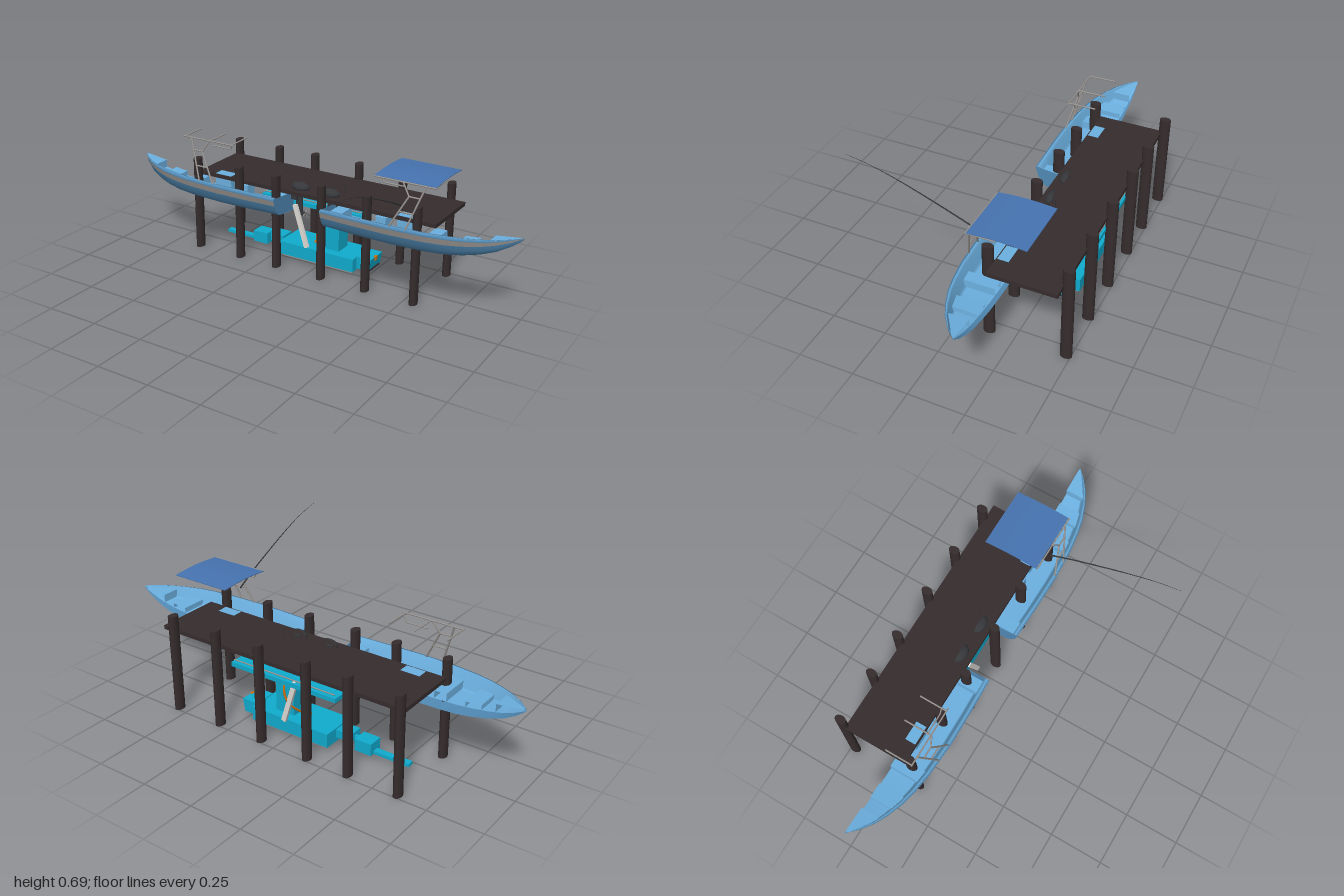
import * as THREE from 'three';

const mat = (name, color, double) => {
  const m = new THREE.MeshStandardMaterial({ color });
  m.name = name;
  if (double) m.side = THREE.DoubleSide;
  return m;
};

export function createModel() {
  const M = {
    timber: mat('dark timber', 0x352c2d),
    hull: mat('hull blue', 0x5089b4, true),
    liner: mat('light blue', 0x6cb0e0, true),
    grey: mat('grey', 0x96928f, true),
    cyan: mat('cyan', 0x10abce),
    canvas: mat('canvas blue', 0x4673b0, true),
    black: mat('charcoal', 0x35373b),
    white: mat('white', 0xdedbd6),
    orange: mat('orange', 0xd0720f),
  };
  const root = new THREE.Group();
  const add = (name, geo, material, parent = root) => {
    const m = new THREE.Mesh(geo, material);
    m.name = name;
    parent.add(m);
    return m;
  };
  // box given by its limits on each axis
  const box = (name, material, x0, x1, y0, y1, z0, z1, parent) => {
    const m = add(name, new THREE.BoxGeometry(Math.abs(x1 - x0), y1 - y0, z1 - z0), material, parent);
    m.position.set((x0 + x1) / 2, (y0 + y1) / 2, (z0 + z1) / 2);
    return m;
  };
  const vec = (p) => new THREE.Vector3(...p);
  // straight round bar between two points
  const bar = (name, material, a, b, r, parent, r2 = r) => {
    const d = vec(b).sub(vec(a));
    const m = add(name, new THREE.CylinderGeometry(r2, r, d.length(), 10), material, parent);
    m.position.copy(vec(a)).addScaledVector(d, 0.5);
    m.quaternion.setFromUnitVectors(new THREE.Vector3(0, 1, 0), d.normalize());
    return m;
  };
  // skin over rows of points
  const loft = (rows) => {
    const n = rows[0].length, idx = [];
    for (let i = 0; i < rows.length - 1; i++) for (let j = 0; j < n - 1; j++) {
      const a = i * n + j, b = a + n;
      idx.push(a, b, a + 1, b, b + 1, a + 1);
    }
    const g = new THREE.BufferGeometry();
    g.setAttribute('position', new THREE.Float32BufferAttribute(rows.flat(2), 3));
    g.setIndex(idx);
    g.computeVertexNormals();
    return g;
  };

  // Dock and piles
  box('dockDeck', M.timber, -0.62, 0.625, 0.366, 0.384, -0.465, -0.16);
  for (const x of [-0.61, -0.37, -0.165, 0.077, 0.308, 0.55]) for (const z of [-0.135, -0.48]) {
    const p = add('dockPile', new THREE.CylinderGeometry(1, 1, 0.457, 20), M.timber);
    p.scale.set(0.018, 1, 0.026);
    p.position.set(x, 0.2285, z);
  }

  // Half boats, open along the centre plane: [x, half width, keel y, sheer y]
  const CZ = -0.215;
  const stations = [
    [0.12, 0.172, 0.27, 0.376], [0.3, 0.178, 0.265, 0.378], [0.45, 0.18, 0.264, 0.379],
    [0.61, 0.171, 0.266, 0.38], [0.7, 0.158, 0.271, 0.381], [0.77, 0.142, 0.282, 0.382],
    [0.84, 0.116, 0.298, 0.383], [0.9, 0.086, 0.319, 0.385], [0.955, 0.045, 0.35, 0.388], [0.995, 0.004, 0.382, 0.39],
  ];
  const at = (x) => { // interpolated station
    let i = 0;
    while (i < stations.length - 2 && stations[i + 1][0] < x) i++;
    const t = (x - stations[i][0]) / (stations[i + 1][0] - stations[i][0]);
    return stations[i].map((v, k) => v + (stations[i + 1][k] - v) * t);
  };
  const section = ([x, w, k, s], f, h, sx) => [sx * x, k + (s - k) * h, CZ + w * f];

  for (const sx of [-1, 1]) {
    const boat = new THREE.Group();
    boat.name = sx > 0 ? 'leftBoat' : 'rightBoat';
    root.add(boat);
    const skin = (name, m, pts) => add(name, loft(stations.map((s) => pts.map(([f, h]) => section(s, f, h, sx)))), m, boat);
    skin('hullTopBand', M.hull, [[0.92, 1], [1, 1], [0.99, 0.9]]);
    skin('hullStripe', M.grey, [[0.99, 0.9], [0.95, 0.66]]);
    skin('hullSide', M.hull, [[0.95, 0.66], [0.88, 0.4], [0.78, 0.2], [0.7, 0.13]]);
    skin('hullBottom', M.hull, [[0.7, 0.13], [0.35, 0.05], [0, 0]]);
    skin('innerSide', M.liner, [[0.96, 1.01], [0.88, 1.01], [0.8, 0.45], [0.74, 0.38]]);
    skin('floor', M.liner, [[0.74, 0.38], [0, 0.38]]);

    // transom closes the stern
    const t = stations[0];
    const tp = [[0, 0], [0.7, 0.13], [0.78, 0.2], [0.88, 0.4], [0.95, 0.66], [1, 1]];
    add('transom', loft([tp.map(([f, h]) => section(t, f, h, sx)), tp.map(([, h]) => section(t, 0, h * 0.85, sx))]), M.hull, boat);

    // bow deck, cross benches and console, following the sides
    const inset = (name, x0, x1, h, f) => {
      const rows = [x0, x0 + 0.001, x1, x1 + 0.001].map((x, i) => {
        const hh = i === 0 || i === 3 ? 0.36 : h, s = at(Math.min(x, 0.99));
        return [section(s, 0, hh, sx), section(s, f, hh, sx)];
      });
      add(name, loft(rows).toNonIndexed(), M.liner, boat).geometry.computeVertexNormals();
    };
    inset('bowDeck', 0.87, 0.985, 0.85, 0.88);
    inset('foreBench', 0.74, 0.81, 0.6, 0.82);
    inset('midBench', 0.6, 0.655, 0.68, 0.82);
    inset('sternBench', 0.13, 0.19, 0.75, 0.85);
    box('console', M.liner, sx * 0.44, sx * 0.53, 0.3, 0.385, CZ, CZ + 0.05, boat);
    box('helmSeat', M.liner, sx * 0.34, sx * 0.39, 0.3, 0.36, CZ, CZ + 0.06, boat);

    // canopy frame
    const X = (x, y, z) => [sx * x, y, z];
    const f = (a, b, r = 0.0035) => bar('canopyFrame', M.grey, X(...a), X(...b), r, boat);
    f([0.537, 0.38, -0.045], [0.605, 0.573, -0.085], 0.004);
    f([0.46, 0.38, -0.045], [0.535, 0.52, -0.073], 0.004);
    f([0.535, 0.52, -0.073], [0.5, 0.573, -0.085]);
    f([0.585, 0.52, -0.073], [0.535, 0.52, -0.073]);
    f([0.56, 0.45, -0.06], [0.5, 0.45, -0.06]);
    f([0.365, 0.573, -0.088], [0.65, 0.573, -0.088]);
    for (const x of [0.38, 0.5, 0.645]) f([x, 0.573, -0.088], [x, 0.575, CZ]);
    f([0.4, 0.545, -0.11], [0.5, 0.545, -0.11], 0.003);
    f([0.4, 0.545, -0.11], [0.385, 0.573, -0.11], 0.003);

    // half outboard motor on the centre plane
    const cowl = add('motorCowl', new THREE.SphereGeometry(1, 20, 12, 0, Math.PI), M.black, boat);
    cowl.scale.set(0.046, 0.024, 0.034);
    cowl.position.set(sx * 0.08, 0.393, CZ);
    box('motorLeg', M.black, sx * 0.068, sx * 0.1, 0.265, 0.39, CZ, CZ + 0.012, boat);
    box('motorBracket', M.black, sx * 0.09, sx * 0.125, 0.33, 0.372, CZ, CZ + 0.022, boat);
    bar('gearCase', M.black, X(0.055, 0.262, CZ), X(0.11, 0.262, CZ), 0.01, boat);
    for (let i = 0; i < 3; i++) {
      const a = i * Math.PI * 2 / 3;
      bar('propellerBlade', M.grey, X(0.058, 0.262, CZ), X(0.054, 0.262 + 0.018 * Math.sin(a), CZ + 0.018 * Math.cos(a)), 0.004, boat);
    }
  }

  // Arched sun canopy
  const sheet = new THREE.BoxGeometry(0.285, 0.003, 0.255, 1, 1, 12);
  const sp = sheet.attributes.position;
  for (let i = 0; i < sp.count; i++) sp.setY(i, sp.getY(i) + 0.007 * Math.cos(sp.getZ(i) / 0.1275 * Math.PI / 2));
  sheet.computeVertexNormals();
  add('canopySheet', sheet, M.canvas).position.set(0.505, 0.575, -0.22);

  // Fishing rod, tapering towards its tip
  const rod = new THREE.CatmullRomCurve3([[0.5, 0.462, -0.095], [0.506, 0.51, 0], [0.516, 0.598, 0.2],
    [0.521, 0.637, 0.3], [0.526, 0.67, 0.4], [0.53, 0.692, 0.505]].map(vec));
  const rp = rod.getPoints(16);
  for (let i = 0; i < 16; i++) {
    const r = (k) => 0.0038 - 0.0033 * k / 16;
    bar('fishingRod', M.black, rp[i].toArray(), rp[i + 1].toArray(), r(i), root, r(i + 1));
  }
  bar('aerial', M.black, [0.13, 0.38, -0.245], [0.135, 0.43, -0.245], 0.002);

  // Floating platform under the dock
  const platform = new THREE.Group();
  platform.name = 'platform';
  root.add(platform);
  const opening = [[-0.255, 0.25], [0.205, 0.25], [0.205, 0.425], [-0.255, 0.425]].map((p) => new THREE.Vector2(...p));
  const rim = new THREE.Shape([[-0.295, 0.215], [0.245, 0.215], [0.245, 0.46], [-0.295, 0.46]].map((p) => new THREE.Vector2(...p)));
  rim.holes.push(new THREE.Path(opening));
  const rimGeo = new THREE.ExtrudeGeometry(rim, { depth: 0.02, bevelEnabled: false });
  rimGeo.rotateX(-Math.PI / 2);
  add('platformRim', rimGeo, M.cyan, platform).position.y = 0.297;
  box('platformFloor', M.cyan, -0.257, 0.207, 0.31, 0.318, -0.427, -0.248, platform);
  for (const z of [-0.225, -0.45]) bar('platformRail', M.grey, [-0.285, 0.327, z], [0.235, 0.327, z], 0.003, platform);
  const tray = new THREE.Shape([[0.245, 0.304], [0.355, 0.304], [0.373, 0.343], [0.226, 0.343]].map((p) => new THREE.Vector2(...p)));
  const trayGeo = new THREE.ExtrudeGeometry(tray, { depth: 0.1, bevelEnabled: false });
  trayGeo.rotateY(Math.PI / 2);
  add('platformTray', trayGeo, M.liner, platform).position.x = 0.11;

  // Underwater machine: column, body, end housing and nozzle arm
  box('column', M.cyan, 0, 0.095, 0.085, 0.367, -0.352, -0.267);
  box('machineBody', M.cyan, -0.205, 0.195, 0.022, 0.086, -0.395, -0.225);
  const end = box('endHousing', M.cyan, 0.19, 0.27, 0.03, 0.09, -0.37, -0.26);
  const ep = end.geometry.attributes.position;
  for (let i = 0; i < ep.count; i++) if (ep.getX(i) > 0 && ep.getY(i) < 0) ep.setX(i, ep.getX(i) - 0.01);
  end.geometry.computeVertexNormals();
  box('intakeSlot', M.black, 0.25, 0.264, 0.029, 0.038, -0.357, -0.263);
  box('outletPlug', M.orange, 0.262, 0.274, 0.073, 0.092, -0.319, -0.298);
  box('skidPlate', M.grey, -0.195, 0.19, 0.013, 0.023, -0.386, -0.232);
  box('armJoint', M.cyan, -0.29, -0.215, 0.053, 0.09, -0.345, -0.275);
  box('armLink', M.cyan, -0.33, -0.2, 0.062, 0.074, -0.318, -0.302);
  box('armHousing', M.cyan, -0.39, -0.31, 0.025, 0.08, -0.345, -0.275);
  box('nozzle', M.cyan, -0.56, -0.385, 0.026, 0.04, -0.325, -0.295);

  // Sloping legs and supply hose
  for (const z of [-0.172, -0.446]) {
    const leg = box('slopingLeg', M.white, -0.011, 0.011, -0.105, 0.105, -0.007, 0.007);
    leg.position.set(-0.053, 0.217, z);
    leg.rotation.z = 0.31;
  }
  const hose = new THREE.CatmullRomCurve3([[-0.03, 0.31, -0.45], [-0.035, 0.25, -0.455], [-0.05, 0.2, -0.44],
    [-0.065, 0.145, -0.385], [-0.06, 0.115, -0.33], [-0.045, 0.085, -0.31]].map(vec));
  add('supplyHose', new THREE.TubeGeometry(hose, 40, 0.005, 8), M.orange);
  box('hoseCoupling', M.orange, -0.056, -0.034, 0.08, 0.095, -0.32, -0.299);

  return root;
}
